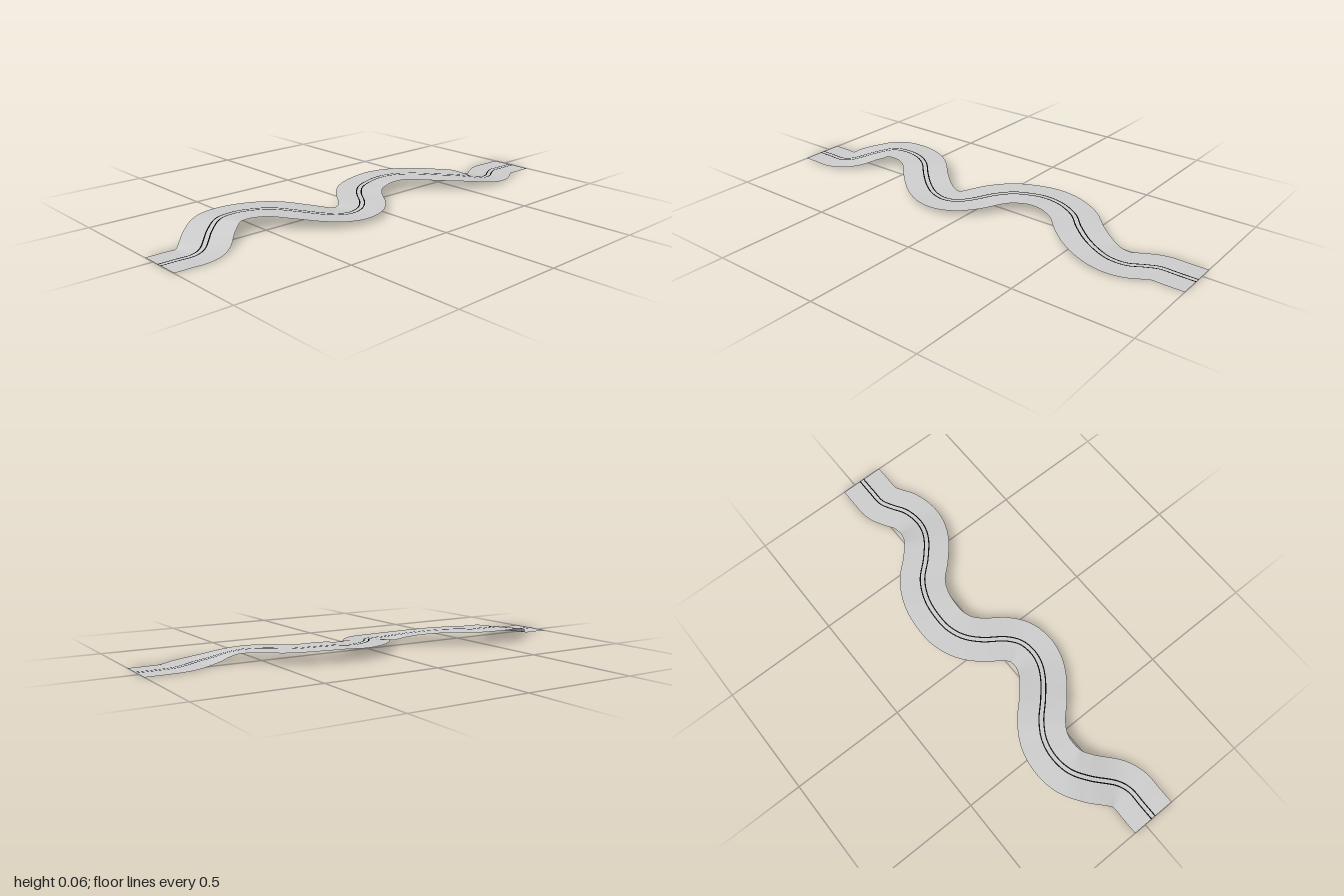
import * as THREE from 'three';

// Road centreline: x, height, z
const PATH = [
  [-1, 0.009, 0.045], [-0.93, 0.009, 0.045], [-0.86, 0.009, 0.045], [-0.81, 0.015, 0.025],
  [-0.72, 0.045, -0.06], [-0.65, 0.063, -0.107], [-0.57, 0.066, -0.12], [-0.49, 0.065, -0.105],
  [-0.42, 0.064, -0.063], [-0.345, 0.055, 0.01], [-0.27, 0.042, 0.072], [-0.21, 0.033, 0.103],
  [-0.15, 0.029, 0.113], [-0.09, 0.032, 0.1], [-0.04, 0.038, 0.06], [0.02, 0.046, -0.025],
  [0.08, 0.051, -0.08], [0.15, 0.054, -0.108], [0.22, 0.06, -0.113], [0.31, 0.06, -0.1],
  [0.4, 0.055, -0.057], [0.475, 0.052, 0.018], [0.55, 0.046, 0.078], [0.61, 0.034, 0.104],
  [0.67, 0.02, 0.112], [0.74, 0.012, 0.1], [0.8, 0.01, 0.065], [0.85, 0.009, 0.042],
  [0.92, 0.008, 0.04], [1, 0.008, 0.04],
].map((p) => new THREE.Vector3(...p));
const STEPS = 260;

// Flat strip that follows the path between two sideways offsets
function ribbon(curve, from, to, lift, columns) {
  const positions = [], index = [];
  for (let i = 0; i <= STEPS; i++) {
    const p = curve.getPoint(i / STEPS);
    const t = curve.getTangent(i / STEPS).setY(0).normalize();
    for (let j = 0; j <= columns; j++) {
      const d = from + (to - from) * j / columns;
      positions.push(p.x - t.z * d, p.y + lift, p.z + t.x * d);
    }
  }
  const row = columns + 1;
  for (let i = 0; i < STEPS; i++) {
    for (let j = 0; j < columns; j++) {
      const a = i * row + j;
      index.push(a, a + 1, a + row, a + 1, a + row + 1, a + row);
    }
  }
  const geometry = new THREE.BufferGeometry();
  geometry.setAttribute('position', new THREE.Float32BufferAttribute(positions, 3));
  geometry.setIndex(index);
  geometry.computeVertexNormals();
  return geometry;
}

export function createModel() {
  const surface = new THREE.MeshStandardMaterial({ color: 0xcccccc, side: THREE.DoubleSide });
  surface.name = 'road grey';
  const paint = new THREE.MeshStandardMaterial({ color: 0x000000, side: THREE.DoubleSide });
  paint.name = 'line black';

  const group = new THREE.Group();
  group.name = 'windingRoad';
  const curve = new THREE.CatmullRomCurve3(PATH, false, 'centripetal');
  const add = (name, geometry, material) => {
    const mesh = new THREE.Mesh(geometry, material);
    mesh.name = name;
    group.add(mesh);
  };

  // Road surface
  add('roadSurface', ribbon(curve, -0.1, 0.1, 0, 8), surface);

  // Double centre line
  for (const [name, offset] of [['rearCentreLine', -0.01], ['frontCentreLine', 0.01]]) {
    add(name, ribbon(curve, offset - 0.0025, offset + 0.0025, 0.0008, 1), paint);
  }
  return group;
}
